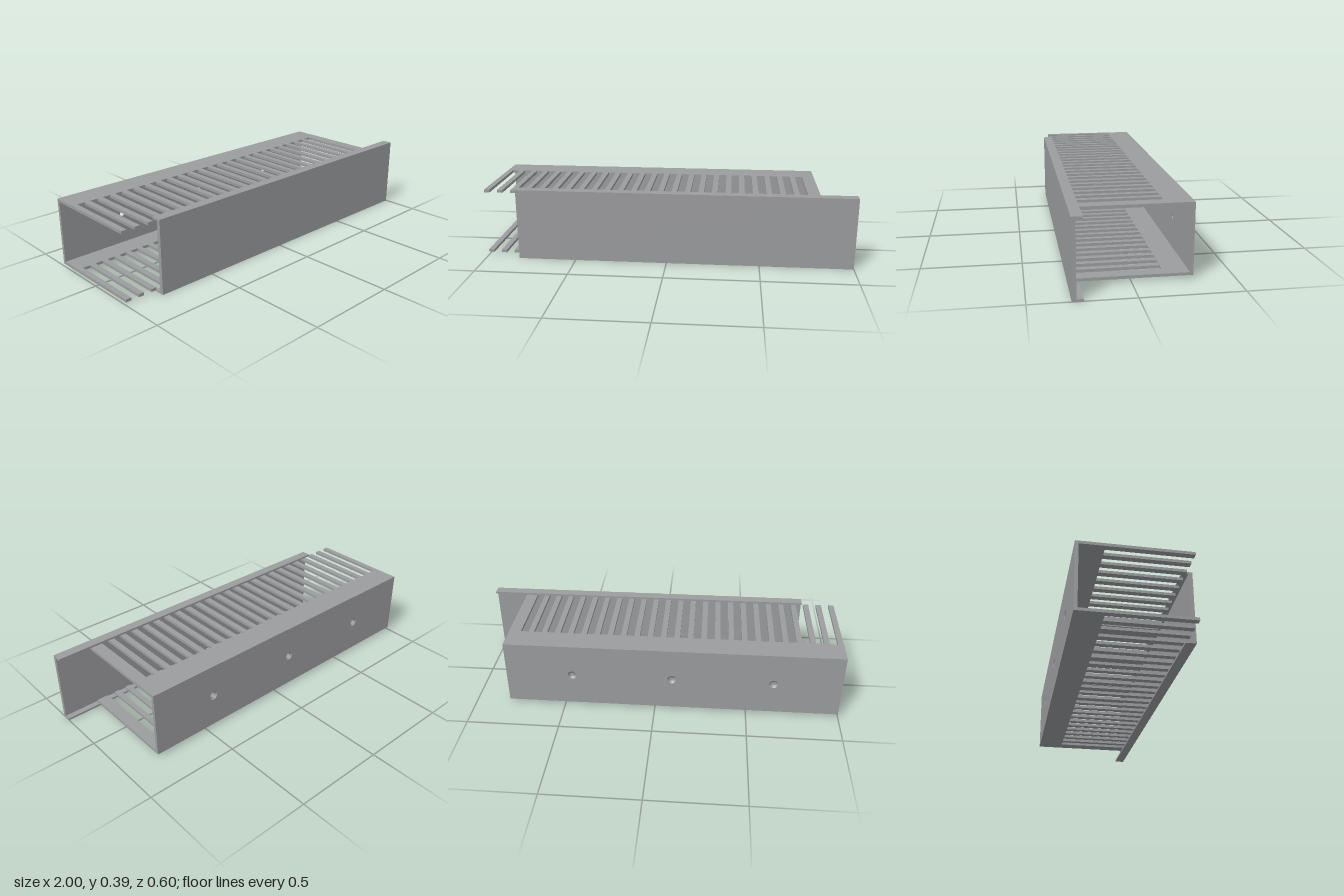
import * as THREE from 'three';

const X0 = -1, X1 = 0.813;           // duct ends
const Y0 = 0.016, Y1 = 0.378;        // duct bottom and top
const BACK = -0.3, INNER = -0.283;   // faces of the back plate
const HOLES = [-0.637, -0.093, 0.45];
const HOLE_Y = (Y0 + Y1) / 2, R_IN = 0.014, R_OUT = 0.024;

const polygon = (pts) => new THREE.Shape(pts.map(([x, y]) => new THREE.Vector2(x, y)));
const extrude = (shape, depth) =>
  new THREE.ExtrudeGeometry(shape, { depth, bevelEnabled: false, curveSegments: 12 });

// Slotted wall: a strip along the back with fingers reaching to the front
function combGeometry(thickness) {
  const count = 24, pitch = 0.0728, width = 0.03, root = -0.16, tip = 0.262;
  const pts = [[X1, INNER], [X1, tip]];
  pts.push([X0 + count * pitch, tip], [X0 + count * pitch, root]);
  for (let i = count - 1; i >= 0; i--) {
    const x = X0 + i * pitch;
    pts.push([x + width, root], [x + width, tip], [x, tip]);
    if (i > 0) pts.push([x, root]);
  }
  pts.push([X0, INNER]);
  return extrude(polygon(pts), thickness).rotateX(Math.PI / 2);
}

// One layer of the back plate, pierced by round holes
function plateGeometry(radius, depth) {
  const shape = polygon([[X0, Y0], [X1, Y0], [X1, Y1], [X0, Y1]]);
  for (const x of HOLES) {
    shape.holes.push(new THREE.Path().absarc(x, HOLE_Y, radius, 0, Math.PI * 2, true));
  }
  return extrude(shape, depth);
}

export function createModel() {
  const model = new THREE.Group();
  const grey = new THREE.MeshStandardMaterial({ color: 0x9c9d9f });
  grey.name = 'grey plastic';
  const add = (name, geometry, parent, x = 0, y = 0, z = 0) => {
    const mesh = new THREE.Mesh(geometry, grey);
    mesh.name = name;
    mesh.position.set(x, y, z);
    parent.add(mesh);
  };

  const duct = new THREE.Group();
  duct.name = 'duct';
  model.add(duct);

  // Slotted top and bottom walls
  const comb = combGeometry(0.015);
  add('topSlottedWall', comb, duct, 0, Y1);
  add('bottomSlottedWall', comb, duct, 0, Y0 + 0.015);

  // Back plate: wide counterbore outside, narrow screw hole inside
  const split = 0.011;
  add('backPlateOuter', plateGeometry(R_OUT, split), duct, 0, 0, BACK);
  add('backPlateInner', plateGeometry(R_IN, INNER - BACK - split), duct, 0, 0, BACK + split);

  // Sloping countersinks in the screw holes
  const sink = new THREE.LatheGeometry(
    [new THREE.Vector2(R_IN, 0), new THREE.Vector2(R_OUT, split)], 24).rotateX(-Math.PI / 2);
  const sinkMaterial = grey.clone();
  sinkMaterial.name = 'grey countersink';
  sinkMaterial.side = THREE.DoubleSide;
  for (const x of HOLES) {
    const mesh = new THREE.Mesh(sink, sinkMaterial);
    mesh.name = 'countersink';
    mesh.position.set(x, HOLE_Y, BACK + split);
    duct.add(mesh);
  }

  // Sliding cover: C-shaped profile, offset along the duct
  const H = 0.391, lip = 0.011, front = 0.3, back = 0.279, edge = 0.247;
  const profile = polygon([
    [-front, 0], [-edge, 0], [-edge, lip], [-back, lip],
    [-back, H - lip], [-edge, H - lip], [-edge, H], [-front, H],
  ]);
  add('cover', extrude(profile, 1.815).rotateY(Math.PI / 2), model, -0.815);

  return model;
}
